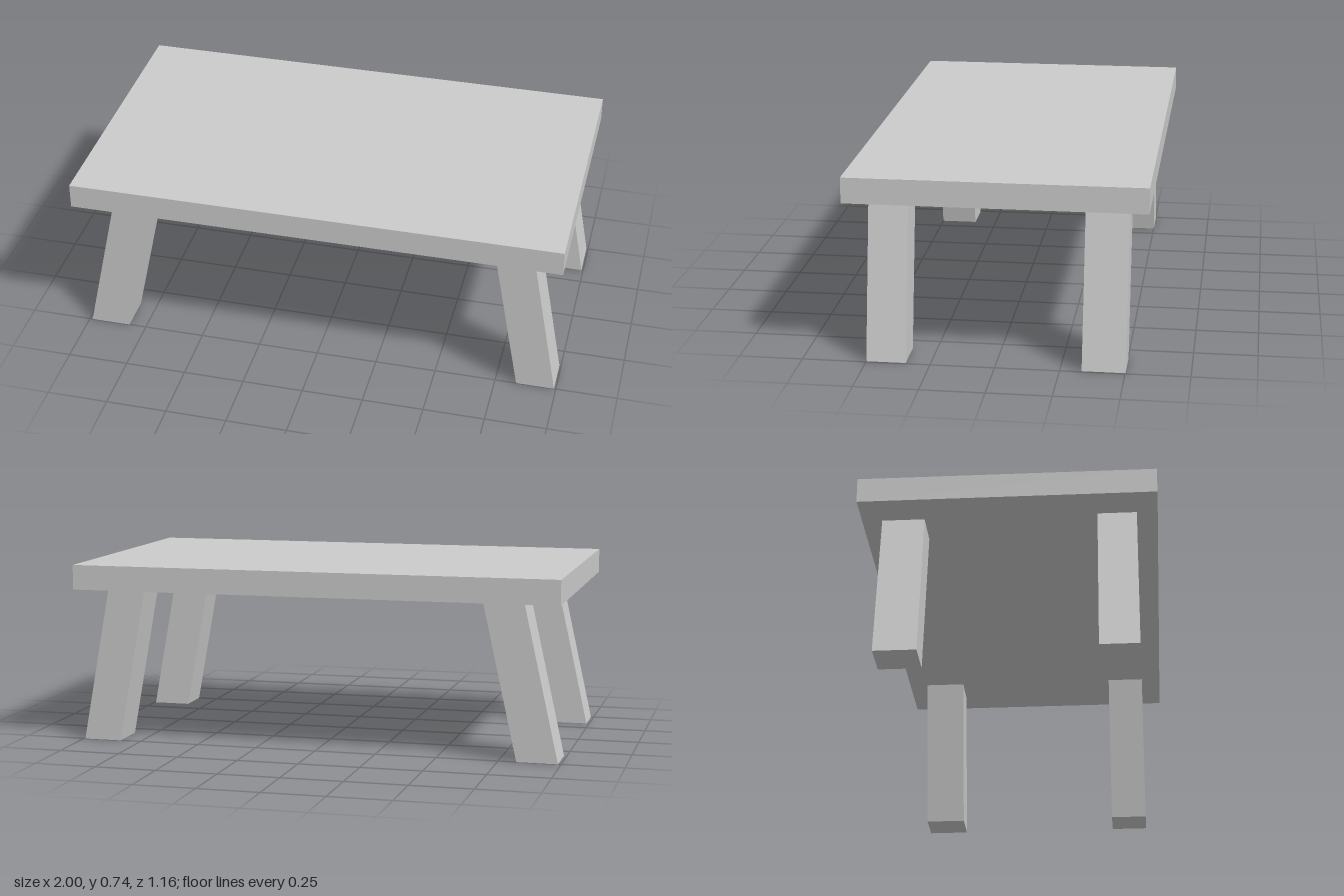
import * as THREE from 'three';

const material = new THREE.MeshStandardMaterial({ color: 0xcccccc, flatShading: true });
const HEIGHT = 0.737;
const UNDERSIDE = 0.636;

// Slanted leg: a parallelogram in the front plane, extruded from z0 to z1
function makeLeg(name, { foot, head }, [z0, z1]) {
  const outline = new THREE.Shape([
    new THREE.Vector2(foot[0], 0),
    new THREE.Vector2(foot[1], 0),
    new THREE.Vector2(head[1], UNDERSIDE),
    new THREE.Vector2(head[0], UNDERSIDE),
  ]);
  const geometry = new THREE.ExtrudeGeometry(outline, { depth: z1 - z0, bevelEnabled: false });
  geometry.translate(0, 0, z0);
  const leg = new THREE.Mesh(geometry, material);
  leg.name = name;
  return leg;
}

export function createModel() {
  const table = new THREE.Group();
  table.name = 'table';

  // Flat rectangular slab
  const top = new THREE.Mesh(new THREE.BoxGeometry(2, HEIGHT - UNDERSIDE, 1.163), material);
  top.position.y = (HEIGHT + UNDERSIDE) / 2;
  top.name = 'tableTop';
  table.add(top);

  // Four legs splayed outwards towards the short ends
  const sides = {
    Right: { foot: [-0.988, -0.823], head: [-0.846, -0.682] },
    Left: { foot: [0.837, 0.993], head: [0.721, 0.877] },
  };
  const rows = { front: [0.346, 0.5], back: [-0.502, -0.334] };
  for (const [row, depth] of Object.entries(rows)) {
    for (const [side, slant] of Object.entries(sides)) {
      table.add(makeLeg(`${row}${side}Leg`, slant, depth));
    }
  }
  return table;
}
